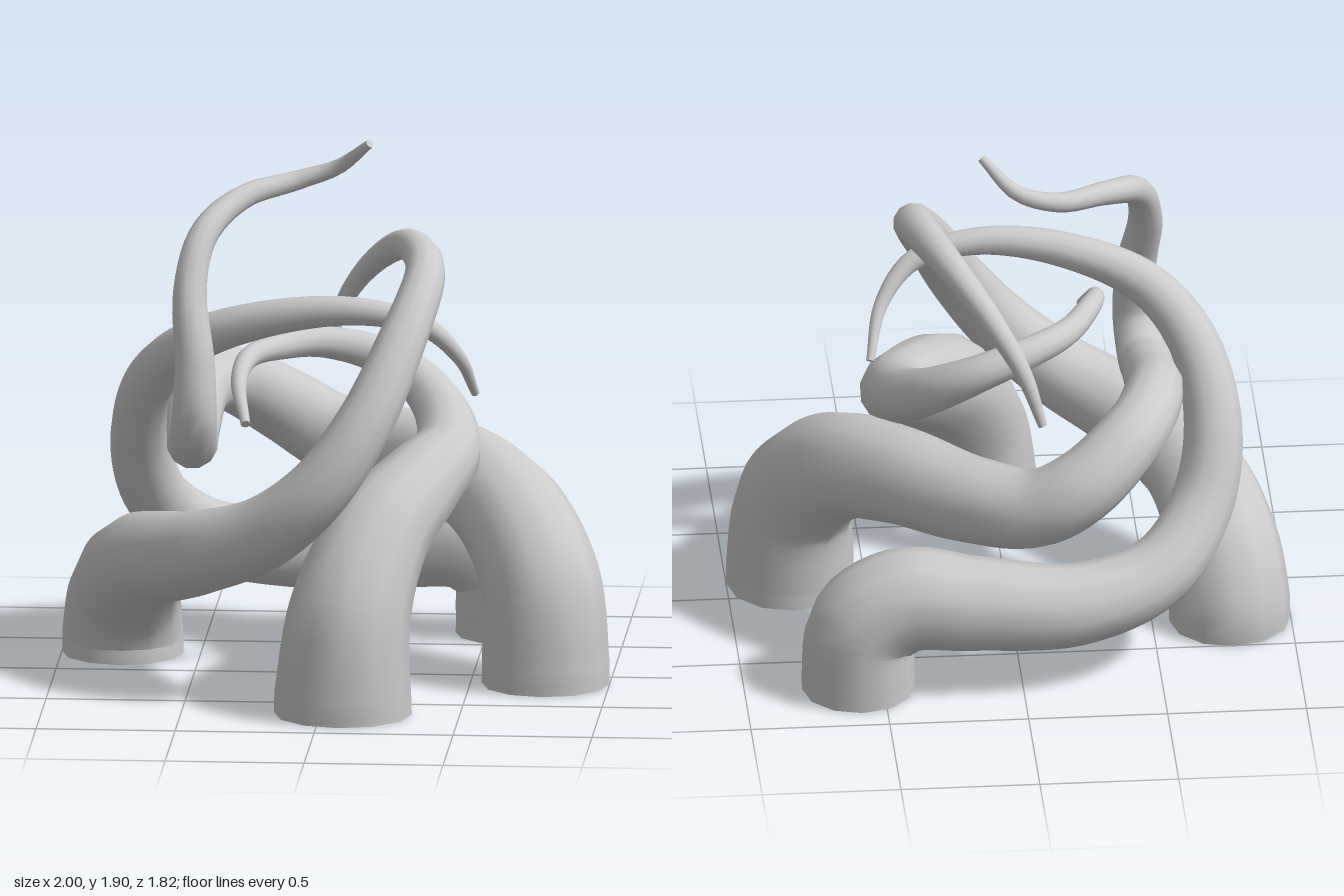
import * as THREE from 'three';

const SIDES = 12;
const SEGMENTS = 110;

// Each tentacle: centre-line points [x, y, z, radius], from floor to tip
const TENTACLES = {
  frontTentacle: [
    [0.08, 0, 0.665, 0.248], [0.08, 0.08, 0.665, 0.246], [0.1, 0.35, 0.62, 0.222],
    [0.18, 0.59, 0.45, 0.193], [0.32, 0.74, 0.2, 0.155], [0.405, 0.82, 0, 0.124],
    [0.37, 0.92, -0.22, 0.098], [0.27, 1.01, -0.345, 0.082], [0.12, 1.09, -0.39, 0.067],
    [-0.06, 1.14, -0.34, 0.057], [-0.2, 1.15, -0.22, 0.05], [-0.31, 1.15, 0, 0.038],
    [-0.33, 1.09, 0.17, 0.028], [-0.295, 0.98, 0.32, 0.017],
  ],
  sideTentacle: [
    [0.77, 0, 0.12, 0.23], [0.77, 0.08, 0.12, 0.23], [0.75, 0.36, 0.08, 0.217],
    [0.625, 0.575, -0.1, 0.2], [0.42, 0.67, -0.36, 0.178], [0.18, 0.69, -0.6, 0.158],
    [-0.05, 0.715, -0.735, 0.145], [-0.22, 0.81, -0.75, 0.135], [-0.41, 0.94, -0.61, 0.12],
    [-0.5, 0.96, -0.36, 0.108], [-0.51, 0.89, -0.06, 0.098], [-0.5, 0.865, 0.13, 0.092],
    [-0.485, 0.97, 0.24, 0.084], [-0.485, 1.18, 0.22, 0.073], [-0.51, 1.42, 0.12, 0.062],
    [-0.47, 1.6, -0.01, 0.053], [-0.34, 1.7, -0.2, 0.044], [-0.16, 1.735, -0.325, 0.036],
    [-0.01, 1.785, -0.335, 0.028], [0.11, 1.89, -0.255, 0.016],
  ],
  backTentacle: [
    [0.59, 0, -0.705, 0.203], [0.59, 0.08, -0.705, 0.203], [0.57, 0.25, -0.705, 0.2],
    [0.42, 0.345, -0.705, 0.192], [0.18, 0.33, -0.72, 0.172], [-0.2, 0.305, -0.71, 0.149],
    [-0.5, 0.37, -0.6, 0.131], [-0.67, 0.55, -0.43, 0.118], [-0.72, 0.8, -0.29, 0.107],
    [-0.66, 1.05, -0.13, 0.093], [-0.5, 1.215, 0.01, 0.08], [-0.2, 1.325, 0.09, 0.064],
    [0.1, 1.355, 0.115, 0.05], [0.33, 1.3, 0.09, 0.038], [0.45, 1.17, 0.01, 0.026],
    [0.5, 1.01, -0.12, 0.015],
  ],
  cornerTentacle: [
    [-0.78, 0, -0.29, 0.218], [-0.78, 0.08, -0.29, 0.218], [-0.765, 0.25, -0.2, 0.203],
    [-0.685, 0.41, 0.05, 0.18], [-0.46, 0.515, 0.355, 0.153], [-0.22, 0.62, 0.5, 0.134],
    [-0.02, 0.79, 0.54, 0.118], [0.14, 1.02, 0.47, 0.104], [0.265, 1.29, 0.28, 0.088],
    [0.33, 1.475, 0.04, 0.073], [0.29, 1.515, -0.18, 0.064], [0.21, 1.49, -0.39, 0.054],
    [0.09, 1.375, -0.565, 0.043], [-0.01, 1.22, -0.665, 0.031], [-0.075, 1.03, -0.7, 0.017],
  ],
};

// Unit tube along the centre line, each ring scaled to the local radius
function taperedTube(points) {
  const curve = new THREE.CatmullRomCurve3(points.map(([x, y, z]) => new THREE.Vector3(x, y, z)));
  curve.arcLengthDivisions = 800;
  const geometry = new THREE.TubeGeometry(curve, SEGMENTS, 1, SIDES, false);
  const position = geometry.attributes.position;
  const centre = new THREE.Vector3();
  const v = new THREE.Vector3();
  for (let i = 0; i <= SEGMENTS; i++) {
    const u = i / SEGMENTS;
    curve.getPointAt(u, centre);
    const t = curve.getUtoTmapping(u) * (points.length - 1);
    const k = Math.min(Math.floor(t), points.length - 2);
    const radius = THREE.MathUtils.lerp(points[k][3], points[k + 1][3], t - k);
    for (let j = 0; j <= SIDES; j++) {
      const n = i * (SIDES + 1) + j;
      v.fromBufferAttribute(position, n).sub(centre).multiplyScalar(radius).add(centre);
      // Cut flat at the floor
      position.setXYZ(n, v.x, i === 0 ? 0 : Math.max(v.y, 0), v.z);
    }
  }
  return geometry;
}

// Disc that closes one end of a tube, facing along the given direction
function endCap([x, y, z, radius], direction, material) {
  const cap = new THREE.Mesh(new THREE.CircleGeometry(radius, SIDES), material);
  cap.quaternion.setFromUnitVectors(new THREE.Vector3(0, 0, 1), direction);
  cap.position.set(x, y, z);
  return cap;
}

export function createModel() {
  const group = new THREE.Group();
  group.name = 'tentacles';
  const material = new THREE.MeshStandardMaterial({ color: 0xcccccc, side: THREE.DoubleSide });
  for (const [name, points] of Object.entries(TENTACLES)) {
    const tentacle = new THREE.Group();
    tentacle.name = name;
    const tube = new THREE.Mesh(taperedTube(points), material);
    tube.name = 'tube';
    const base = endCap(points[0], new THREE.Vector3(0, -1, 0), material);
    base.name = 'baseCap';
    const [before, last] = points.slice(-2).map(([x, y, z]) => new THREE.Vector3(x, y, z));
    const tip = endCap(points.at(-1), last.sub(before).normalize(), material);
    tip.name = 'tipCap';
    tentacle.add(tube, base, tip);
    group.add(tentacle);
  }
  return group;
}
